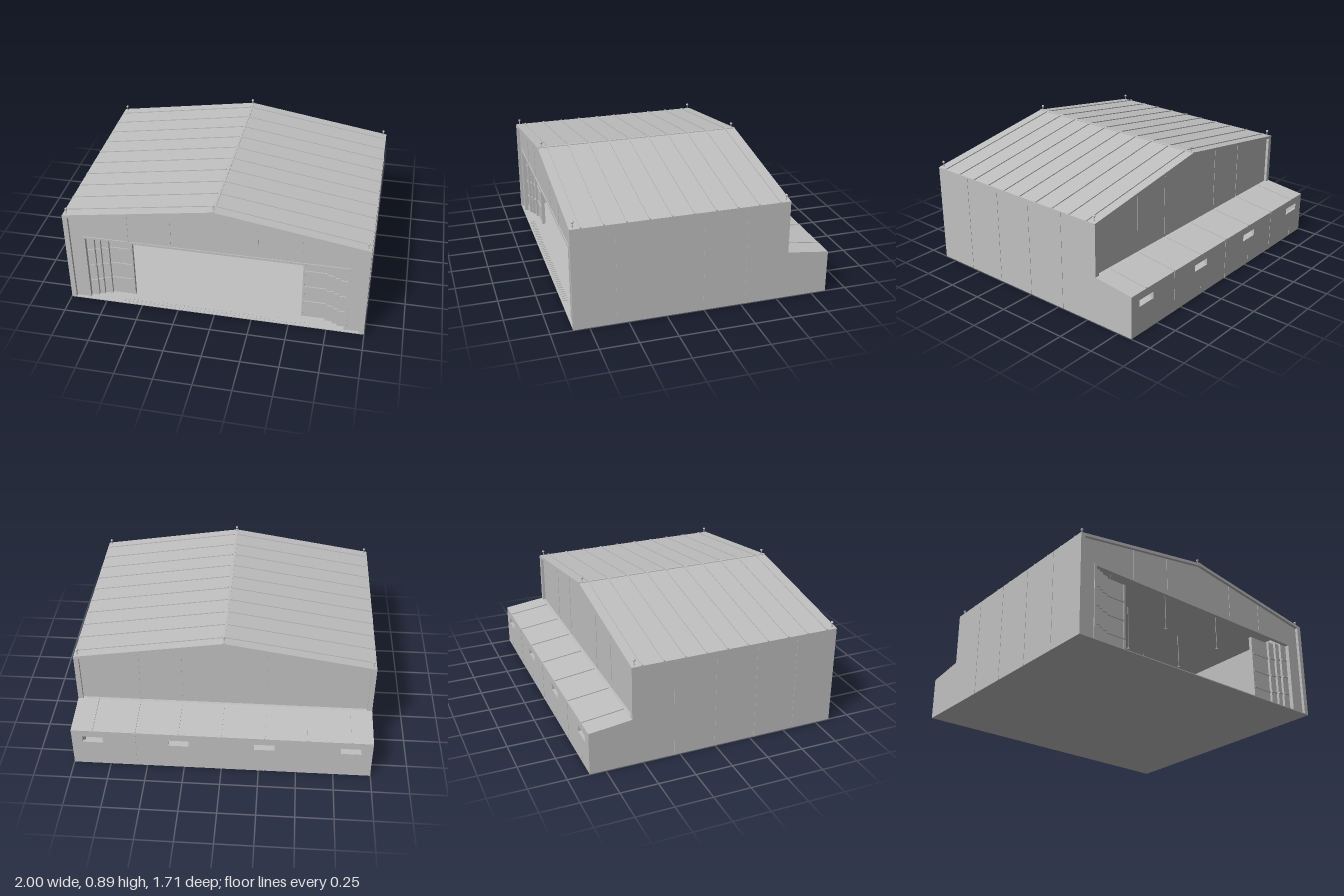
import * as THREE from 'three';

const HALF = 0.998, EAVE = 0.685, RIDGE = 0.845;
const FRONT = 0.855, HALL_BACK = -0.57, BACK = -0.855;

export function createModel() {
  const model = new THREE.Group();
  model.name = 'hangar';
  const grey = new THREE.MeshStandardMaterial({ color: 0xc0c0c0 });
  grey.name = 'painted steel grey';

  const add = (name, geo, x = 0, y = 0, z = 0) => {
    const m = new THREE.Mesh(geo, grey);
    m.name = name;
    m.position.set(x, y, z);
    model.add(m);
    return m;
  };
  const box = (name, w, h, d, x, y, z) => add(name, new THREE.BoxGeometry(w, h, d), x, y, z);
  const shape = (pts) => new THREE.Shape(pts.map(([x, y]) => new THREE.Vector2(x, y)));
  const extrude = (s, depth) => new THREE.ExtrudeGeometry(s, { depth, bevelEnabled: false });
  // profile given in (z, y), centred on x with the given width
  const alongX = (pts, width) => extrude(shape(pts), width).translate(0, 0, -width / 2).rotateY(-Math.PI / 2);
  const roofY = (x) => RIDGE - (RIDGE - EAVE) * Math.abs(x);

  // Hall shell: side walls and roof as one arch
  add('hallShell', extrude(shape([
    [-HALF, 0], [-HALF, EAVE], [0, RIDGE], [HALF, EAVE], [HALF, 0],
    [0.965, 0], [0.965, 0.67], [0, 0.825], [-0.965, 0.67], [-0.965, 0],
  ]), FRONT - HALL_BACK), 0, 0, HALL_BACK);
  box('hallFloor', 1.93, 0.006, FRONT - HALL_BACK, 0, 0.003, (FRONT + HALL_BACK) / 2);

  // Recessed gable walls, the front one with the doorway
  add('frontWall', extrude(shape([
    [-0.965, 0], [-0.965, 0.67], [0, 0.825], [0.965, 0.67], [0.965, 0],
    [0.865, 0], [0.865, 0.505], [-0.865, 0.505], [-0.865, 0],
  ]), 0.02), 0, 0, 0.815);
  add('backWall', extrude(shape([
    [-0.965, 0], [-0.965, 0.67], [0, 0.825], [0.965, 0.67], [0.965, 0],
  ]), 0.02), 0, 0, -0.55);
  add('doorFrame', extrude(shape([
    [-0.88, 0], [-0.88, 0.52], [0.88, 0.52], [0.88, 0],
    [0.865, 0], [0.865, 0.505], [-0.865, 0.505], [-0.865, 0],
  ]), 0.006), 0, 0, 0.835);

  // Gable panel seams
  for (const x of [-0.571, -0.285, 0.285, 0.571]) {
    const top = roofY(x) - 0.022;
    box('frontSeam', 0.006, top - 0.52, 0.003, x, (top + 0.52) / 2, 0.836);
    box('backSeam', 0.006, top - 0.32, 0.003, x, (top + 0.32) / 2, -0.551);
  }

  // Roof ribs and ridge cap
  const pitch = Math.atan2(RIDGE - EAVE, HALF);
  for (let i = 0; i < 10; i++) {
    const z = -0.5 + i * 0.1427;
    for (const s of [-1, 1]) {
      const rib = box('roofRib', 0.985 / Math.cos(pitch), 0.008, 0.01, s * 0.504, roofY(0.504) + 0.002, z);
      rib.rotation.z = -s * pitch;
    }
  }
  box('ridgeCap', 0.018, 0.008, FRONT - HALL_BACK, 0, RIDGE - 0.001, (FRONT + HALL_BACK) / 2);

  // Side wall seams
  for (const s of [-1, 1])
    for (const z of [-0.285, 0, 0.285, 0.57])
      box('sideSeam', 0.004, EAVE - 0.005, 0.007, s * 0.998, (EAVE - 0.005) / 2, z);

  // Roof beacons
  for (const z of [0.83, -0.545])
    for (const x of [-0.975, 0, 0.975]) {
      const y = roofY(x);
      add('beaconPost', new THREE.CylinderGeometry(0.003, 0.004, 0.034, 8), x, y + 0.013, z);
      add('beaconLamp', new THREE.SphereGeometry(0.009, 12, 8), x, y + 0.033, z);
    }

  // Sliding door leaves, folded back in steps on both sides
  const edges = [0.865, 0.82, 0.785, 0.735, 0.58];
  for (const s of [-1, 1]) {
    for (let i = 0; i < 4; i++) {
      const w = edges[i] - edges[i + 1], x = s * (edges[i] + edges[i + 1]) / 2, z = 0.8 - i * 0.018;
      box('doorLeaf', w + 0.008, 0.51, 0.018, x, 0.258, z);
      for (const y of [0.135, 0.26, 0.39]) box('doorBar', w, 0.01, 0.008, x, y, z + 0.012);
    }
    box('doorEdge', 0.014, 0.51, 0.024, s * 0.579, 0.258, 0.746);

    // Cross-braced bay against the back wall
    for (const px of [0.572, 0.29]) box('bracePost', 0.016, 0.64, 0.02, s * px, 0.32, -0.52);
    for (const d of [-1, 1]) {
      const brace = box('crossBrace', Math.hypot(0.27, 0.41), 0.01, 0.008, s * 0.43, 0.247, -0.516 + d * 0.004);
      brace.rotation.z = d * Math.atan2(0.41, 0.27);
    }
    for (const y of [0.05, 0.44]) box('braceGusset', 0.016, 0.024, 0.012, s * 0.574, y, -0.508);
  }

  // Hanging lamps
  for (const z of [-0.3, 0.1, 0.5])
    for (const x of [-0.49, 0, 0.49]) {
      const top = roofY(x) - 0.02;
      add('lampShade', new THREE.ConeGeometry(0.018, 0.016, 16), x, 0.492, z);
      add('lampRod', new THREE.CylinderGeometry(0.002, 0.002, top - 0.495, 6), x, (top + 0.495) / 2, z);
    }

  // Threshold grate
  for (let i = 0; i < 44; i++) box('grateBar', 0.01, 0.004, 0.035, -0.63 + i * 0.0293, 0.008, 0.825);

  // Lean-to: roof, end walls, floor and back wall with window openings
  add('annexRoof', alongX([[HALL_BACK + 0.02, 0.325], [HALL_BACK, 0.325], [BACK, 0.29], [BACK, 0.27], [HALL_BACK + 0.02, 0.305]], 1.93));
  for (const s of [-1, 1])
    add('annexEndWall', alongX([[HALL_BACK, 0], [HALL_BACK, 0.325], [BACK, 0.29], [BACK, 0]], 0.033), s * 0.9815);
  box('annexFloor', 1.93, 0.006, 0.305, 0, 0.003, -0.7025);
  const wall = shape([[-0.965, 0], [0.965, 0], [0.965, 0.27], [-0.965, 0.27]]);
  const windows = [-0.857, -0.285, 0.285, 0.857];
  for (const x of windows) {
    const hole = new THREE.Path();
    hole.moveTo(x - 0.068, 0.192).lineTo(x - 0.068, 0.238).lineTo(x + 0.068, 0.238).lineTo(x + 0.068, 0.192).closePath();
    wall.holes.push(hole);
    box('lowerSeam', 0.006, 0.06, 0.004, x, 0.03, BACK);
  }
  add('annexBackWall', extrude(wall, 0.02), 0, 0, BACK);
  for (const x of [-0.571, 0, 0.571]) box('annexSeam', 0.006, 0.285, 0.004, x, 0.1425, BACK);

  // Lean-to roof ribs
  const fall = Math.atan2(0.035, 0.285);
  for (let i = -3; i <= 3; i++) {
    const rib = box('annexRoofRib', 0.008, 0.008, 0.284, i * 0.2855, 0.3095, -0.7125);
    rib.rotation.x = -fall;
  }
  return model;
}
